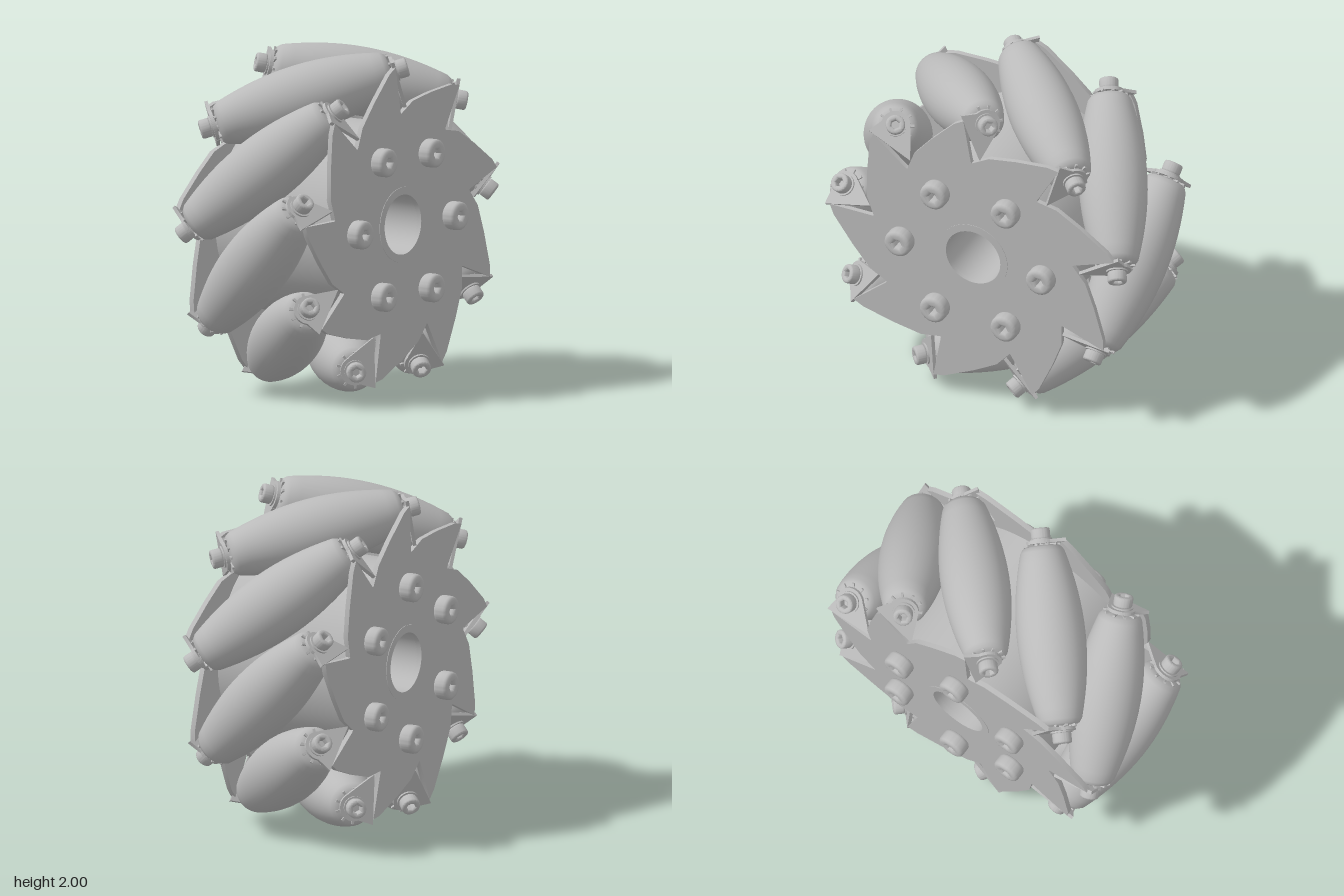
import * as THREE from 'three';
import { toCreasedNormals } from 'three/addons/utils/BufferGeometryUtils.js';

const ROLLERS = 9, STEP = (Math.PI * 2) / ROLLERS, START = THREE.MathUtils.degToRad(33.5);
const PITCH = 0.8;      // distance of roller axis from wheel axis
const BORE = 0.175;

const metal = new THREE.MeshStandardMaterial({ color: 0xbababa });
metal.name = 'grey metal';

function part(geometry, name) {
  const mesh = new THREE.Mesh(geometry, metal);
  mesh.name = name;
  return mesh;
}

function polar(r, deg) {
  const a = THREE.MathUtils.degToRad(deg);
  return new THREE.Vector2(r * Math.cos(a), r * Math.sin(a));
}

function extrude(shape, z0, z1, bevel = 0) {
  const g = new THREE.ExtrudeGeometry(shape, {
    depth: z1 - z0 - 2 * bevel, bevelEnabled: bevel > 0, bevelSize: bevel,
    bevelThickness: bevel, bevelSegments: 3, curveSegments: 32,
  });
  g.translate(0, 0, z0 + bevel);
  return toCreasedNormals(g, 0.6);
}

function ring(outer, inner) {
  const s = new THREE.Shape().absarc(0, 0, outer, 0, Math.PI * 2, false);
  s.holes.push(new THREE.Path().absarc(0, 0, inner, 0, Math.PI * 2, true));
  return s;
}

// Round screw head with a hexagonal socket
function screwHead(radius, socket, z0, z1, bevel) {
  const s = new THREE.Shape().absarc(0, 0, radius - bevel, 0, Math.PI * 2, false);
  const hex = [];
  for (let i = 0; i < 6; i++) hex.push(polar(socket, -60 * i));
  s.holes.push(new THREE.Path(hex));
  return extrude(s, z0, z1, bevel);
}

// Swirled side plate, one swept tooth per roller
function plateGeometry() {
  const tooth = [[0.65, 45], [0.72, 36], [0.79, 24], [0.9, 12], [0.93, 8], [0.66, 5.5]];
  const pts = [];
  for (let k = 0; k < ROLLERS; k++)
    for (const [r, a] of [...tooth].reverse()) pts.push(polar(r, a - 27.5 + k * 40));
  const s = new THREE.Shape(pts);
  s.holes.push(new THREE.Path().absarc(0, 0, BORE, 0, Math.PI * 2, true));
  return extrude(s, 0.445, 0.475);
}

// Barrel whose outer edge follows the wheel's unit circle
function rollerGeometry() {
  const pts = [new THREE.Vector2(0, -0.525), new THREE.Vector2(0.085, -0.525), new THREE.Vector2(0.11, -0.515)];
  for (let i = -8; i <= 8; i++) {
    const s = (i / 8) * 0.49;
    pts.push(new THREE.Vector2(1 - Math.sqrt(PITCH * PITCH + s * s / 2), s));
  }
  pts.push(new THREE.Vector2(0.11, 0.515), new THREE.Vector2(0.085, 0.525), new THREE.Vector2(0, 0.525));
  const g = new THREE.LatheGeometry(pts, 36);
  g.rotateX(Math.PI / 2);
  return toCreasedNormals(g, 0.7);
}

// Bent tab that carries a roller end
function tabGeometry() {
  const s = new THREE.Shape();
  s.moveTo(0.11, 0.115);
  s.lineTo(-0.19, 0.115);
  s.lineTo(-0.08, -0.035);
  s.absarc(0, 0, 0.085, Math.PI * 1.13, Math.PI * 2.1, false);
  return extrude(s, 0.535, 0.555);
}

export function createModel() {
  const wheel = new THREE.Group();
  wheel.name = 'rollerWheel';
  wheel.position.y = 1;

  // Hub drum
  wheel.add(part(extrude(ring(0.58, BORE), -0.45, 0.45), 'hubDrum'));

  // Side plates with collars and six cap screws each
  const plate = plateGeometry();
  const collar = extrude(ring(0.22, BORE), 0.47, 0.478);
  const capScrew = screwHead(0.083, 0.05, 0.47, 0.56, 0.022);
  for (const back of [false, true]) {
    const side = new THREE.Group();
    side.name = back ? 'backSide' : 'frontSide';
    const turned = new THREE.Group();
    turned.rotation.z = START;
    const flip = new THREE.Group();
    flip.rotation.x = back ? Math.PI : 0;
    flip.add(part(plate, 'sidePlate'), part(collar, 'boreCollar'));
    turned.add(flip);
    side.add(turned);
    const screws = new THREE.Group();
    screws.rotation.x = back ? Math.PI : 0;
    for (let i = 0; i < 6; i++) {
      const screw = part(capScrew, 'capScrew');
      const p = polar(0.455, i * 60 + (back ? 30 : 0));
      screw.position.set(p.x, p.y, 0);
      screws.add(screw);
    }
    side.add(screws);
    wheel.add(side);
  }

  // Angled rollers, tabs and axle ends
  const roller = rollerGeometry();
  const tab = tabGeometry();
  const axleHead = screwHead(0.056, 0.04, 0.562, 0.628, 0.012);
  const washer = new THREE.CylinderGeometry(0.064, 0.064, 0.012, 24).rotateX(Math.PI / 2).translate(0, 0, 0.559);
  const axle = new THREE.CylinderGeometry(0.045, 0.045, 0.07, 20).rotateX(Math.PI / 2).translate(0, 0, 0.54);
  const rib = new THREE.BoxGeometry(0.045, 0.014, 0.012).translate(0.085, 0, 0.527);
  for (let k = 0; k < ROLLERS; k++) {
    const spoke = new THREE.Group();
    spoke.name = 'rollerUnit';
    spoke.rotation.z = START + k * STEP;
    const tilted = new THREE.Group();
    tilted.position.x = PITCH;
    tilted.rotation.x = Math.PI / 4;
    tilted.add(part(roller, 'roller'));
    for (const turn of [0, Math.PI]) {
      const end = new THREE.Group();
      end.name = 'rollerEnd';
      end.rotation.x = turn;
      end.add(part(tab, 'bentTab'), part(axle, 'axle'), part(washer, 'washer'), part(axleHead, 'axleScrew'));
      for (let i = 0; i < 10; i++) {
        const r = part(rib, 'endRib');
        r.rotation.z = (i * Math.PI) / 5;
        end.add(r);
      }
      tilted.add(end);
    }
    spoke.add(tilted);
    wheel.add(spoke);
  }

  const model = new THREE.Group();
  model.name = 'omnidirectionalWheel';
  model.add(wheel);
  return model;
}
